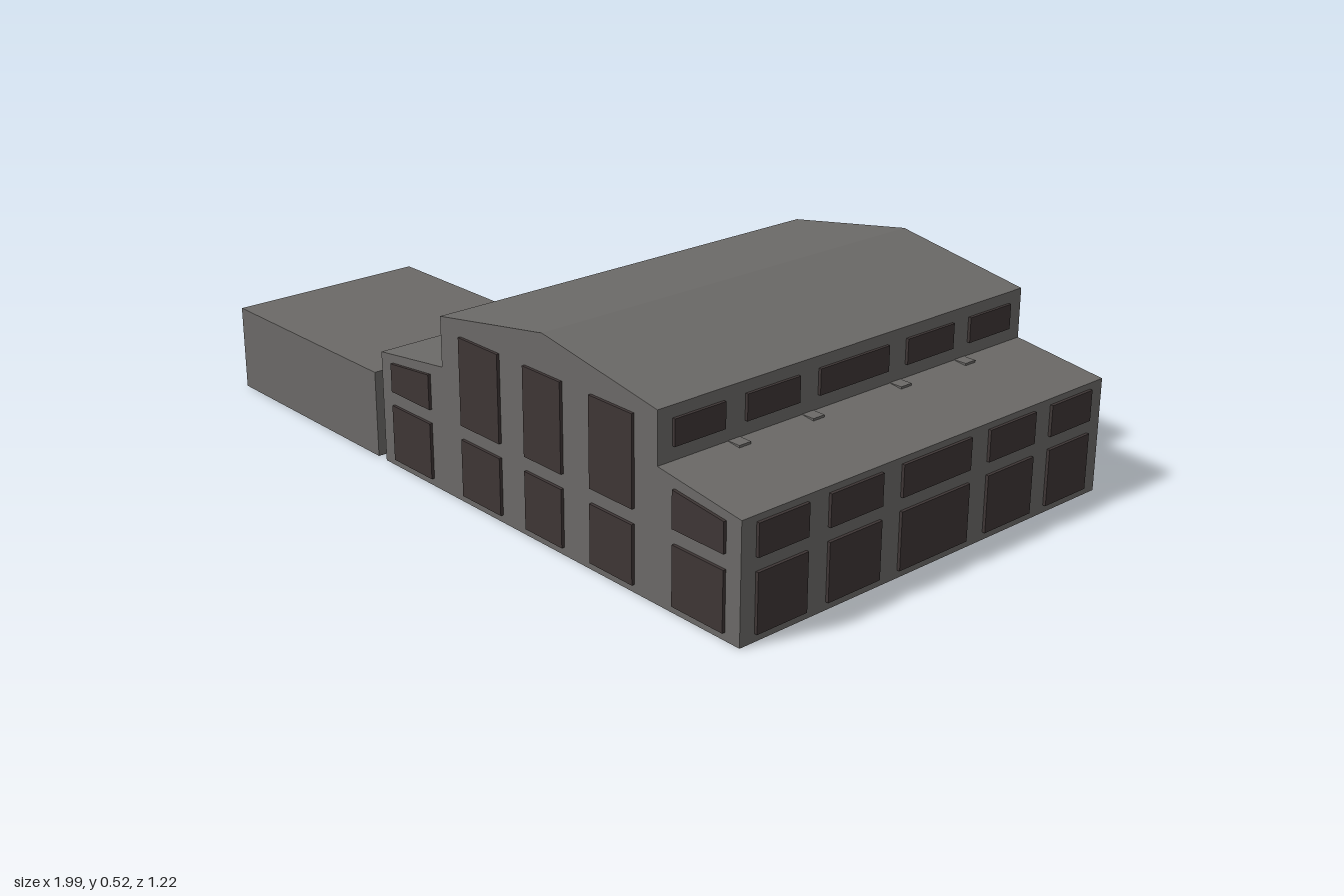
import * as THREE from 'three';

const wallMat = new THREE.MeshStandardMaterial({ color: 0x6b6967 });
wallMat.name = 'grey wall';
const darkMat = new THREE.MeshStandardMaterial({ color: 0x3e3635 });
darkMat.name = 'dark glazing';

const HALF = 0.603; // half depth of the hall
const MID = 0.335;  // x of the roof ridge

// Hall cross-section: low side aisles and a raised gabled nave
const PROFILE = [
  [-0.315, 0], [0.985, 0], [0.985, 0.296], [0.725, 0.33], [0.725, 0.46],
  [MID, 0.525], [-0.055, 0.46], [-0.055, 0.33], [-0.315, 0.296],
];
const shapeOf = (pts) => new THREE.Shape(pts.map(([x, y]) => new THREE.Vector2(x, y)));

export function createModel() {
  const model = new THREE.Group();
  model.name = 'industrialHall';

  const add = (name, geometry, material, x = 0, y = 0, z = 0) => {
    const mesh = new THREE.Mesh(geometry, material);
    mesh.name = name;
    mesh.position.set(x, y, z);
    model.add(mesh);
  };
  // Box given by its limits on each axis
  const box = (name, material, [x0, x1], [y0, y1], [z0, z1]) =>
    add(name, new THREE.BoxGeometry(x1 - x0, y1 - y0, z1 - z0), material,
      (x0 + x1) / 2, (y0 + y1) / 2, (z0 + z1) / 2);
  const extrude = (name, shape, material, z0, z1) =>
    add(name, new THREE.ExtrudeGeometry(shape, { depth: z1 - z0, bevelEnabled: false }), material, 0, 0, z0);

  // Main hall, with an open doorway cut into the rear bay
  const rear = shapeOf(PROFILE);
  rear.holes.push(new THREE.Path([[0.568, 0.004], [0.568, 0.1], [0.632, 0.1], [0.632, 0.004]]
    .map(([x, y]) => new THREE.Vector2(x, y))));
  extrude('hallBody', shapeOf(PROFILE), wallMat, -0.48, HALF);
  extrude('hallRearBay', rear, wallMat, -HALF, -0.48);

  // Annex and the low passage that joins it
  box('annex', wallMat, [-1, -0.35], [0, 0.23], [0.045, 0.603]);
  box('passage', wallMat, [-0.35, -0.315], [0, 0.1], [0.245, 0.305]);

  // Front windows
  const front = [HALF, HALF + 0.008];
  const aisles = [[-0.265, -0.105], [0.78, 0.94]];
  const nave = [[0.025, 0.175], [0.27, 0.405], [0.505, 0.65]];
  for (const xs of [...aisles, ...nave]) box('frontLowerWindow', darkMat, xs, [0.02, 0.168], front);
  for (const xs of nave) box('frontTallWindow', darkMat, xs, [0.205, 0.43], front);
  aisles.forEach(([a, b], i) => {
    const [left, right] = i === 0 ? [0.28, 0.297] : [0.297, 0.28];
    extrude('frontSlopedWindow', shapeOf([[a, 0.205], [b, 0.205], [b, right], [a, left]]), darkMat, ...front);
  });

  // Side windows on the +x wall, clerestory windows on both sides
  const bays = [[0.41, 0.56], [0.18, 0.345], [-0.115, 0.115], [-0.345, -0.18], [-0.557, -0.405]];
  for (const zs of bays) {
    box('sideLowerWindow', darkMat, [0.985, 0.993], [0.02, 0.166], zs);
    box('sideUpperWindow', darkMat, [0.985, 0.993], [0.2, 0.28], zs);
    box('clerestoryWindow', darkMat, [0.725, 0.733], [0.365, 0.43], zs);
    box('clerestoryWindow', darkMat, [-0.063, -0.055], [0.365, 0.43], zs);
  }

  // Small flat vents on the aisle roofs
  for (const z of [0.378, 0.147, -0.147, -0.378]) {
    for (const s of [-1, 1]) {
      const x = MID + s * 0.408;
      box('roofVent', wallMat, [x - 0.018, x + 0.018], [0.318, 0.331], [z - 0.018, z + 0.018]);
    }
  }

  // Large rear doors
  for (const xs of [[-0.02, 0.205], [0.275, 0.5]]) {
    box('rearDoor', darkMat, xs, [0.002, 0.23], [-HALF - 0.008, -HALF]);
  }

  return model;
}
